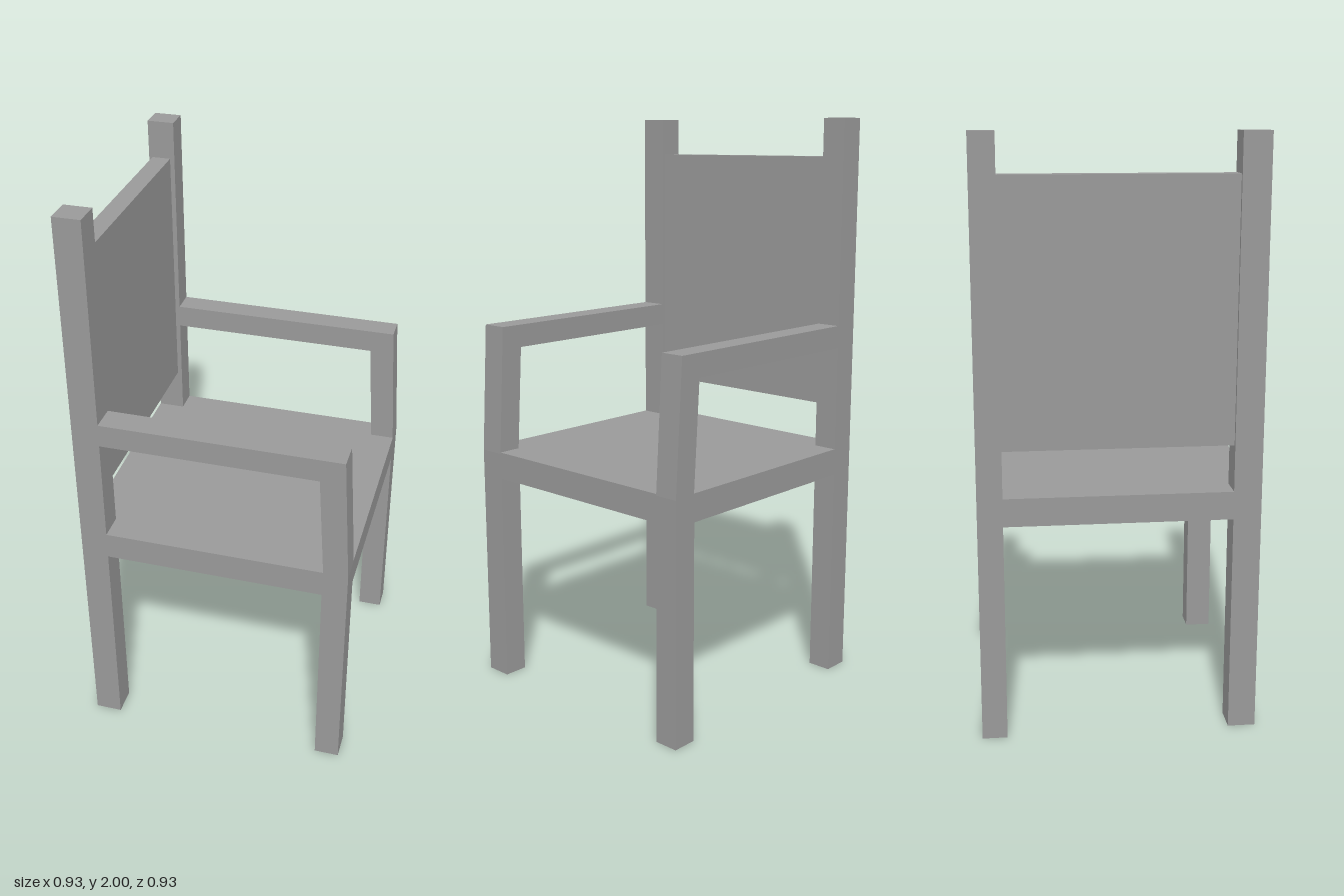
import * as THREE from 'three';

const points = (list) => list.map(([x, y]) => new THREE.Vector2(x, y));

export function createModel() {
  const chair = new THREE.Group();
  chair.name = 'armchair';

  const grey = new THREE.MeshStandardMaterial({ color: 0x999999 });
  grey.name = 'grey';

  // Inner faces of the two side frames
  const zLeft = -0.383, zRight = 0.374, zOuter = 0.467;

  // Side frame outline: tall back post, seat rail, front leg, leaning arm support and armrest
  const outline = new THREE.Shape(points([
    [-0.467, 0], [-0.374, 0], [-0.374, 0.75], [0.381, 0.75], [0.381, 0], [0.467, 0],
    [0.467, 0.84], [0.44, 1.29], [-0.374, 1.29], [-0.374, 2], [-0.467, 2],
  ]));
  // Opening under the armrest
  outline.holes.push(new THREE.Path(points([
    [-0.374, 0.845], [-0.374, 1.21], [0.36, 1.21], [0.383, 0.845],
  ])));

  function addSideFrame(name, z0, z1) {
    const geometry = new THREE.ExtrudeGeometry(outline, { depth: z1 - z0, bevelEnabled: false });
    const mesh = new THREE.Mesh(geometry, grey);
    mesh.name = name;
    mesh.position.z = z0;
    chair.add(mesh);
  }

  // Board spanning the gap between the side frames
  function addBoard(name, x0, x1, y0, y1) {
    const geometry = new THREE.BoxGeometry(x1 - x0, y1 - y0, zRight - zLeft);
    const mesh = new THREE.Mesh(geometry, grey);
    mesh.name = name;
    mesh.position.set((x0 + x1) / 2, (y0 + y1) / 2, (zLeft + zRight) / 2);
    chair.add(mesh);
  }

  addSideFrame('rearSideFrame', -zOuter, zLeft);
  addSideFrame('frontSideFrame', zRight, zOuter);
  addBoard('seat', -0.467, 0.467, 0.75, 0.845);
  addBoard('backrest', -0.455, -0.39, 1.0, 1.87);

  return chair;
}
